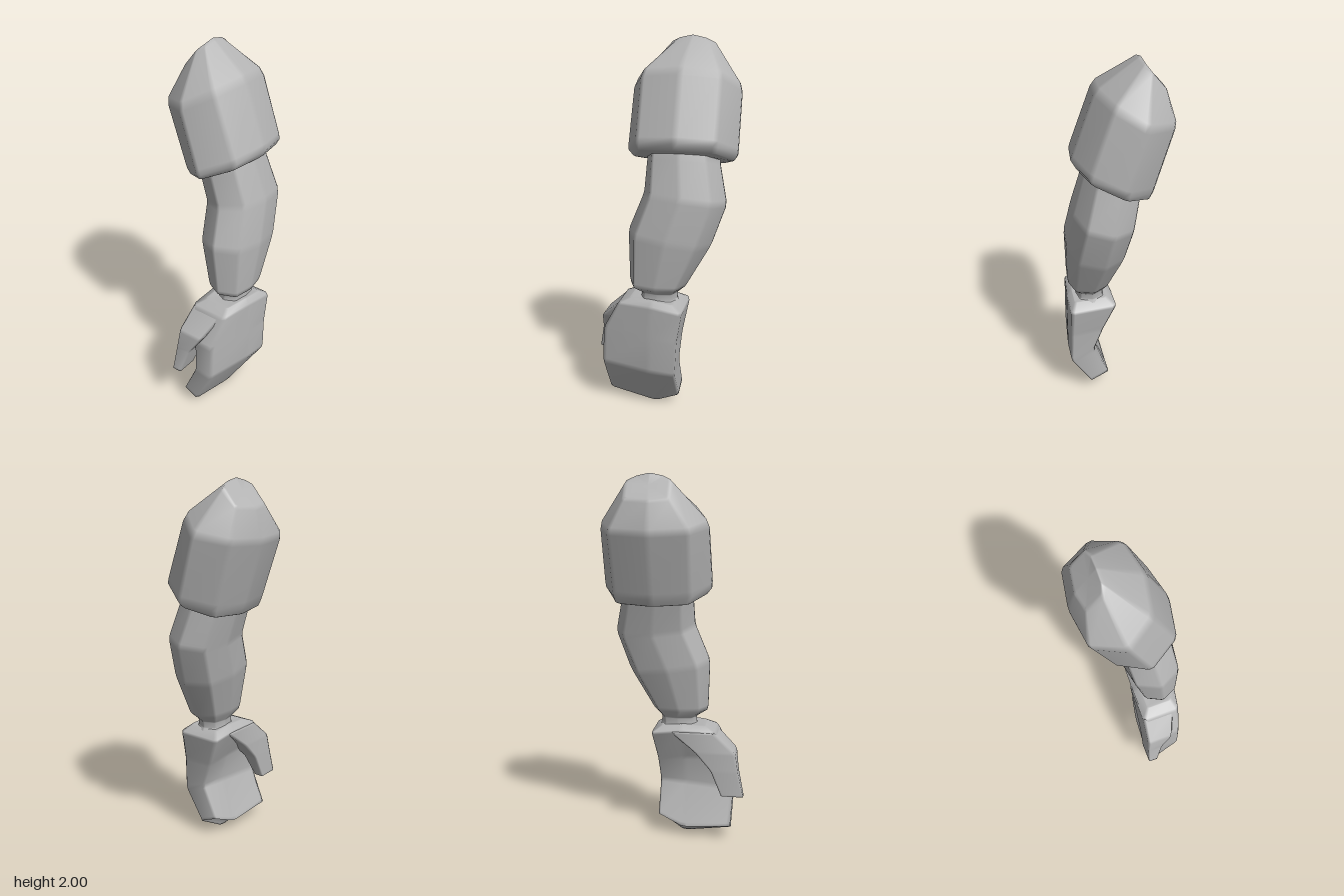
import * as THREE from 'three';

const grey = new THREE.MeshStandardMaterial({ color: 0xb4b4b4 });
grey.name = 'plain grey';

const mix = (a, b, t) => a.map((v, i) => v + (b[i] - v) * t);
const mixRing = (a, b, t) => a.map((p, i) => mix(p, b[i], t));

// Narrow chamfer on every corner of a closed ring
function chamferRing(ring, t) {
  const n = ring.length;
  return ring.flatMap((p, i) => [mix(p, ring[(i + n - 1) % n], t), mix(p, ring[(i + 1) % n], t)]);
}

// Soft-edged faceted solid through rings listed from bottom to top,
// each ring running front -> +x -> back -> -x
function loft(name, rings, t = 0.08) {
  const last = rings.length - 1;
  const rows = rings.flatMap((r, i) => {
    if (i === 0) return [r, mixRing(r, rings[1], t)];
    if (i === last) return [mixRing(r, rings[i - 1], t), r];
    return [mixRing(r, rings[i - 1], t), mixRing(r, rings[i + 1], t)];
  }).map(r => chamferRing(r, t));
  // inset end rings so that the caps get a soft edge as well
  const centre = r => r.reduce((s, p) => s.map((v, i) => v + p[i] / r.length), [0, 0, 0]);
  const inset = r => r.map(p => mix(p, centre(r), 0.12));
  rows.unshift(inset(rows[0]));
  rows.push(inset(rows[rows.length - 1]));

  const n = rows[0].length;
  const pos = rows.flat(2);
  const idx = [];
  for (let i = 0; i < rows.length - 1; i++) {
    for (let j = 0; j < n; j++) {
      const k = (j + 1) % n;
      const a = i * n + j, b = i * n + k, c = (i + 1) * n + k, d = (i + 1) * n + j;
      idx.push(a, b, c, a, c, d);
    }
  }
  const bottom = rows.length * n, top = bottom + 1, topRow = (rows.length - 1) * n;
  pos.push(...centre(rows[0]), ...centre(rows[rows.length - 1]));
  for (let j = 0; j < n; j++) {
    const k = (j + 1) % n;
    idx.push(bottom, k, j, top, topRow + j, topRow + k);
  }
  const geo = new THREE.BufferGeometry();
  geo.setAttribute('position', new THREE.Float32BufferAttribute(pos, 3));
  geo.setIndex(idx);
  geo.computeVertexNormals();
  const mesh = new THREE.Mesh(geo, grey);
  mesh.name = name;
  return mesh;
}

// Eight-sided ring, tilted so that y rises towards the front
const OCT = [[0, 1], [0.72, 0.82], [1, 0], [0.72, -0.82], [0, -1], [-0.72, -0.82], [-1, 0], [-0.72, 0.82]];
const oct = (cx, cy, cz, rx, rz, tilt = 0, lean = 0) =>
  OCT.map(([u, v]) => [cx + u * rx, cy + v * rz * tilt + u * lean, cz + v * rz]);

// Four-sided ring between two x and two z limits
const quad = (y, x0, x1, front, back) =>
  [[x0, y, front], [x1, y, front], [x1, y, back], [x0, y, back]];

export function createModel() {
  const model = new THREE.Group();
  model.name = 'arm';

  // Shoulder sleeve with a tucked rim and a ridged cap
  model.add(loft('sleeve', [
    oct(0.095, 1.38, 0.01, 0.2, 0.13, 0.36),
    [[0.09, 1.46, 0.21], [0.28, 1.45, 0.175], [0.36, 1.385, 0.03], [0.29, 1.34, -0.11],
      [0.1, 1.33, -0.14], [-0.09, 1.34, -0.11], [-0.175, 1.385, 0.03], [-0.105, 1.45, 0.175]],
    [[0.09, 1.505, 0.235], [0.29, 1.49, 0.195], [0.385, 1.42, 0.035], [0.3, 1.38, -0.125],
      [0.1, 1.37, -0.165], [-0.1, 1.38, -0.125], [-0.205, 1.42, 0.035], [-0.115, 1.49, 0.195]],
    [[0.09, 1.85, 0.105], [0.29, 1.83, 0.07], [0.385, 1.75, -0.06], [0.305, 1.72, -0.23],
      [0.1, 1.71, -0.265], [-0.105, 1.72, -0.24], [-0.195, 1.75, -0.08], [-0.115, 1.83, 0.065]],
    [[0.11, 2.0, -0.11], [0.18, 1.985, -0.11], [0.23, 1.96, -0.125], [0.23, 1.87, -0.2],
      [0.1, 1.86, -0.222], [0.0, 1.87, -0.205], [0.0, 1.965, -0.125], [0.04, 1.985, -0.11]],
  ]));

  // Bent arm narrowing into the wrist
  model.add(loft('armAndWrist', [
    oct(-0.03, 0.62, 0.13, 0.14, 0.11),
    oct(-0.01, 0.65, 0.13, 0.1, 0.075),
    oct(-0.008, 0.685, 0.13, 0.1, 0.075),
    oct(-0.018, 0.725, 0.135, 0.155, 0.11, -0.05),
    oct(0.04, 0.98, 0.11, 0.225, 0.15, 0.05, -0.03),
    oct(0.117, 1.19, 0.085, 0.222, 0.15, 0.15, -0.02),
    oct(0.095, 1.38, 0.03, 0.195, 0.138, 0.3),
    oct(0.1, 1.55, -0.02, 0.19, 0.13, 0.3),
  ]));

  // Mitten hand with curled fingers
  model.add(loft('hand', [
    [[-0.31, 0.045, 0.09], [-0.04, 0.0, 0.11], [0.1, 0.075, 0.15],
      [0.1, 0.12, 0.045], [-0.04, 0.06, 0.02], [-0.31, 0.085, 0.0]],
    [[-0.32, 0.26, 0.195], [-0.04, 0.25, 0.25], [0.1, 0.25, 0.265],
      [0.1, 0.3, 0.13], [-0.04, 0.3, 0.11], [-0.32, 0.28, 0.09]],
    [[-0.31, 0.46, 0.195], [-0.04, 0.45, 0.25], [0.108, 0.44, 0.262],
      [0.108, 0.44, 0.075], [-0.04, 0.45, 0.08], [-0.31, 0.46, 0.08]],
    [[-0.22, 0.625, 0.215], [-0.03, 0.63, 0.25], [0.135, 0.61, 0.265],
      [0.135, 0.61, 0.005], [-0.03, 0.63, 0.0], [-0.22, 0.625, 0.0]],
    [[-0.16, 0.65, 0.19], [-0.03, 0.655, 0.22], [0.08, 0.645, 0.23],
      [0.08, 0.645, 0.05], [-0.03, 0.655, 0.045], [-0.16, 0.65, 0.045]],
  ]));

  // Thumb with its web running up to the wrist
  model.add(loft('thumb', [
    quad(0.27, -0.382, -0.26, 0.035, -0.02),
    quad(0.41, -0.35, -0.2, 0.075, -0.015),
    quad(0.51, -0.335, -0.11, 0.14, -0.01),
    quad(0.62, -0.215, 0.03, 0.19, 0.0),
  ]));

  return model;
}
